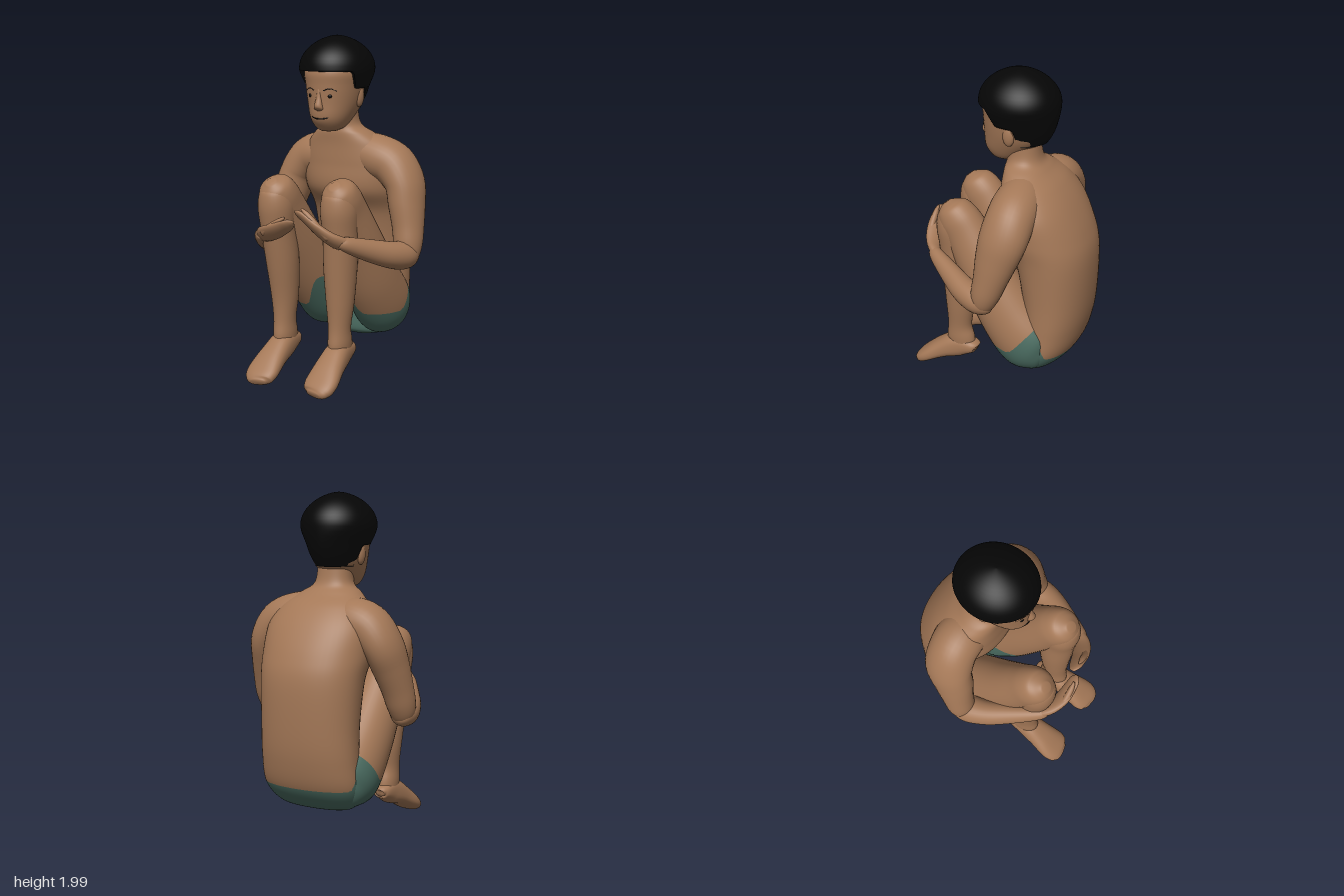
import * as THREE from 'three';

const SKIN = new THREE.MeshStandardMaterial({ color: 0xa47857 });
const SHORTS = new THREE.MeshStandardMaterial({ color: 0x4a6b60 });
const BLACK = new THREE.MeshStandardMaterial({ color: 0x060606, side: THREE.DoubleSide });
const X = new THREE.Vector3(1, 0, 0), Y = new THREE.Vector3(0, 1, 0), Z = new THREE.Vector3(0, 0, 1);
const smooth = THREE.MathUtils.smoothstep;

// Keeps the part of a smooth surface where sign * hem(point) is positive, cutting triangles along the hem.
function cutSurface(geometry, hem, sign) {
  const { position, normal } = geometry.attributes, index = geometry.index.array;
  const out = { position: [], normal: [] };
  const corners = Array.from({ length: position.count }, (_, i) => {
    const p = new THREE.Vector3().fromBufferAttribute(position, i);
    return { p, n: new THREE.Vector3().fromBufferAttribute(normal, i), f: sign * hem(p) };
  });
  for (let k = 0; k < index.length; k += 3) {
    const poly = [];
    for (let e = 0; e < 3; e++) {
      const a = corners[index[k + e]], b = corners[index[k + (e + 1) % 3]];
      if (a.f >= 0) poly.push(a);
      if (a.f >= 0 !== b.f >= 0) {
        const t = a.f / (a.f - b.f);
        poly.push({ p: a.p.clone().lerp(b.p, t), n: a.n.clone().lerp(b.n, t).normalize() });
      }
    }
    for (let i = 1; i + 1 < poly.length; i++) {
      for (const c of [poly[0], poly[i], poly[i + 1]]) {
        out.position.push(...c.p.toArray());
        out.normal.push(...c.n.toArray());
      }
    }
  }
  const cut = new THREE.BufferGeometry();
  for (const key in out) cut.setAttribute(key, new THREE.Float32BufferAttribute(out[key], 3));
  return cut;
}

// Smooth closed surface through rings of points; the part below the hem becomes shorts.
function skinRings(name, rings, material, hem) {
  const n = rings[0].length, pts = rings.flat(), index = [];
  for (let i = 0; i < rings.length - 1; i++) {
    for (let j = 0; j < n; j++) {
      const a = i * n + j, b = i * n + (j + 1) % n;
      index.push(a, b, a + n, b, b + n, a + n);
    }
  }
  // end caps
  for (const [start, flip] of [[0, true], [(rings.length - 1) * n, false]]) {
    const centre = new THREE.Vector3();
    for (let j = 0; j < n; j++) centre.addScaledVector(pts[start + j], 1 / n);
    const c = pts.push(centre) - 1;
    for (let j = 0; j < n; j++) {
      const a = start + j, b = start + (j + 1) % n;
      index.push(c, flip ? b : a, flip ? a : b);
    }
  }
  const geometry = new THREE.BufferGeometry().setFromPoints(pts);
  geometry.setIndex(index);
  geometry.computeVertexNormals();
  const add = (parent, label, geo, mat) => {
    const mesh = new THREE.Mesh(geo, mat);
    mesh.name = label;
    parent.add(mesh);
    return mesh;
  };
  const group = new THREE.Group();
  group.name = name;
  if (!hem) return add(group, name, geometry, material);
  add(group, name + 'Skin', cutSurface(geometry, hem, 1), material);
  add(group, name + 'Shorts', cutSurface(geometry, hem, -1), SHORTS);
  return group;
}

// Loft of ellipses: each section is [x, y, z, halfA, halfB]; A lies along "across".
function loft(name, sections, { across = X, axis = null, power = 2, steps = 5, n = 32, hem } = {}) {
  const path = new THREE.CatmullRomCurve3(sections.map(s => new THREE.Vector3(s[0], s[1], s[2])), false, 'catmullrom');
  const size = new THREE.CatmullRomCurve3(sections.map(s => new THREE.Vector3(s[3], s[4], 0)), false, 'catmullrom');
  const count = (sections.length - 1) * steps, rings = [];
  const bend = v => Math.sign(v) * Math.abs(v) ** (2 / power);
  for (let i = 0; i <= count; i++) {
    const p = path.getPoint(i / count), r = size.getPoint(i / count);
    const T = axis || path.getTangent(i / count);
    const A = across.clone().addScaledVector(T, -across.dot(T)).normalize();
    const B = T.clone().cross(A);
    rings.push(Array.from({ length: n }, (_, j) => {
      const t = j / n * 2 * Math.PI;
      return p.clone().addScaledVector(A, bend(Math.cos(t)) * Math.max(r.x, 0.002))
        .addScaledVector(B, bend(Math.sin(t)) * Math.max(r.y, 0.002));
    }));
  }
  return skinRings(name, rings, SKIN, hem);
}

function createTorso() {
  return loft('torso', [
    [0, 0.177, -0.22, 0.12, 0.04], [0, 0.215, -0.26, 0.24, 0.105], [0, 0.33, -0.315, 0.3, 0.155],
    [0, 0.5, -0.345, 0.3, 0.178], [0, 0.7, -0.345, 0.297, 0.2], [0, 0.95, -0.317, 0.308, 0.228],
    [0, 1.1, -0.255, 0.325, 0.252], [0, 1.25, -0.215, 0.32, 0.215], [-0.005, 1.36, -0.172, 0.265, 0.17],
    [-0.015, 1.43, -0.125, 0.185, 0.126], [-0.02, 1.485, -0.1, 0.115, 0.1], [-0.025, 1.6, -0.08, 0.105, 0.1],
  ], { axis: Y, power: 2.2, n: 56, steps: 8, hem: p => p.y - 0.34 - Math.min(0.12, 3 * Math.max(0, p.z + 0.38)) });
}

// Leg: thigh folded up to the knee, shin down to a tilted foot
function createLeg(s, dx, dz) {
  const side = list => list.map(([x, y, z, a, b]) =>
    [s * x + dx * smooth(z, -0.25, 0.2), y, z + dz * smooth(y, 0.4, 1), a, b]);
  const leg = new THREE.Group();
  leg.name = s > 0 ? 'leftLeg' : 'rightLeg';
  const hem = p => p.y - 0.37 - 1.25 * Math.max(0, -0.18 - p.z) - 0.2 * smooth(0.2 - s * p.x, 0, 0.13);
  leg.add(
    loft('thigh', side([
      [0.19, 0.28, -0.345, 0.04, 0.04], [0.195, 0.305, -0.31, 0.12, 0.125], [0.195, 0.38, -0.235, 0.165, 0.198],
      [0.195, 0.56, -0.09, 0.165, 0.19], [0.19, 0.8, 0.06, 0.145, 0.16], [0.185, 1.0, 0.18, 0.12, 0.14],
      [0.185, 1.1, 0.25, 0.11, 0.125], [0.185, 1.15, 0.295, 0.085, 0.09], [0.185, 1.18, 0.32, 0.03, 0.03],
    ]), { hem, n: 40, steps: 7 }),
    loft('shin', side([
      [0.185, 1.16, 0.29, 0.04, 0.04], [0.185, 1.13, 0.282, 0.085, 0.085], [0.185, 1.04, 0.265, 0.108, 0.112],
      [0.185, 0.9, 0.25, 0.1, 0.11], [0.18, 0.7, 0.24, 0.095, 0.105], [0.18, 0.5, 0.24, 0.08, 0.09],
      [0.18, 0.35, 0.247, 0.063, 0.076], [0.18, 0.26, 0.242, 0.063, 0.09], [0.18, 0.19, 0.235, 0.058, 0.09],
    ])),
    loft('foot', side([
      [0.18, 0.198, 0.13, 0.025, 0.022], [0.18, 0.202, 0.15, 0.052, 0.04], [0.18, 0.19, 0.25, 0.07, 0.078],
      [0.185, 0.14, 0.36, 0.085, 0.063], [0.19, 0.075, 0.46, 0.1, 0.046], [0.185, 0.04, 0.51, 0.085, 0.036],
      [0.18, 0.028, 0.535, 0.045, 0.018],
    ]), { power: 2.4 }),
  );
  return leg;
}

// Arm: shoulder flowing out of the torso, forearm reaching forward, hand turned inward before the knee
function createArm(s, back, dz, rise) {
  const side = list => list.map(([x, y, z, a, b]) => [s * x, y + rise * smooth(0.25 - x, 0, 0.2),
    z + dz * smooth(z, -0.05, 0.35) - back * smooth(y, 0.9, 1.2), a, b]);
  const arm = new THREE.Group();
  arm.name = s > 0 ? 'leftArm' : 'rightArm';
  arm.add(
    loft('upperArm', side([
      [0.06, 1.3, -0.15, 0.12, 0.12], [0.2, 1.282, -0.165, 0.142, 0.135], [0.3, 1.245, -0.17, 0.142, 0.129],
      [0.375, 1.15, -0.16, 0.142, 0.112], [0.405, 1.03, -0.13, 0.125, 0.104], [0.43, 0.9, -0.1, 0.1, 0.092],
      [0.443, 0.8, -0.075, 0.085, 0.084], [0.446, 0.73, -0.06, 0.062, 0.065], [0.446, 0.69, -0.05, 0.03, 0.03],
    ]), { across: Z }),
    loft('forearm', side([
      [0.452, 0.75, -0.115, 0.03, 0.03], [0.45, 0.746, -0.085, 0.066, 0.066], [0.437, 0.75, -0.02, 0.084, 0.082],
      [0.41, 0.77, 0.08, 0.074, 0.077], [0.35, 0.81, 0.2, 0.06, 0.065], [0.28, 0.86, 0.33, 0.043, 0.045],
      [0.25, 0.88, 0.37, 0.03, 0.03],
    ])),
    loft('hand', side([
      [0.29, 0.855, 0.32, 0.035, 0.03], [0.22, 0.885, 0.38, 0.055, 0.032], [0.14, 0.93, 0.415, 0.06, 0.027],
      [0.06, 0.98, 0.43, 0.05, 0.02], [0.02, 1.005, 0.435, 0.036, 0.015], [0, 1.017, 0.437, 0.012, 0.007],
    ]), { across: new THREE.Vector3(0, 0.7, 0.7), n: 24 }),
    loft('thumb', side([
      [0.21, 0.9, 0.42, 0.016, 0.02], [0.15, 0.955, 0.44, 0.02, 0.02], [0.09, 1.005, 0.445, 0.017, 0.017],
      [0.05, 1.035, 0.445, 0.007, 0.007],
    ]), { across: Z, n: 16 }),
  );
  return arm;
}

// Hair cap with a raised front hairline, sideburns and a gap above each ear
function createHair() {
  const n = 96, rings = [];
  const point = (t, y, r) =>
    new THREE.Vector3(-0.027 + 0.217 * r * Math.cos(t), y, -0.058 - 0.238 * r * Math.sin(t));
  const drop = t => {
    const f = -Math.sin(t);
    return 0.01 + 0.1 * (1 - smooth(f, 0.36, 0.55)) + 0.12 * (1 - smooth(f, -0.38, -0.15));
  };
  const row = fn => rings.push(Array.from({ length: n }, (_, j) => fn(j / n * 2 * Math.PI)));
  row(t => point(t, 1.81 - drop(t), 0.62));
  for (let k = 8; k > 0; k--) {
    row(t => {
      const d = drop(t) * k / 8, flank = 0.14 * Math.abs(Math.cos(t)) * smooth(d, 0, 0.12);
      return point(t, 1.81 - d, 1 - flank - 0.27 * (d / 0.22) ** 2.5);
    });
  }
  for (let k = 0; k <= 14; k++) {
    const a = k / 14 * 1.54;
    row(t => point(t, 1.81 + 0.19 * Math.sin(a), Math.cos(a) ** 1.2));
  }
  return skinRings('hair', rings, BLACK);
}

function createHead() {
  const head = new THREE.Group(), cx = -0.025;
  head.name = 'head';
  head.add(loft('face', [
    [cx, 1.452, 0.035, 0.045, 0.05], [cx, 1.475, 0.02, 0.085, 0.092], [cx, 1.53, 0, 0.118, 0.146],
    [cx, 1.62, -0.04, 0.15, 0.19], [cx, 1.72, -0.05, 0.168, 0.205], [cx, 1.8, -0.05, 0.175, 0.205],
    [cx, 1.88, -0.05, 0.13, 0.15], [cx, 1.93, -0.05, 0.05, 0.06],
  ], { axis: Y, power: 2.1, n: 48 }));
  head.add(loft('nose', [
    [cx, 1.7, 0.146, 0.01, 0.008], [cx, 1.65, 0.148, 0.016, 0.014], [cx, 1.605, 0.153, 0.025, 0.024],
    [cx, 1.585, 0.148, 0.027, 0.018], [cx, 1.575, 0.143, 0.012, 0.01],
  ], { axis: Y.clone().negate(), n: 16 }));
  const ball = (name, material, x, y, z, ...scale) => {
    const mesh = new THREE.Mesh(new THREE.SphereGeometry(1, 20, 14), material);
    mesh.name = name;
    mesh.position.set(x, y, z);
    mesh.scale.set(...scale);
    head.add(mesh);
  };
  const line = (name, points) => {
    const curve = new THREE.CatmullRomCurve3(points.map(p => new THREE.Vector3(...p)));
    const mesh = new THREE.Mesh(new THREE.TubeGeometry(curve, 12, 0.0035, 6), BLACK);
    mesh.name = name;
    head.add(mesh);
  };
  for (const s of [-1, 1]) {
    ball('eye', BLACK, cx + s * 0.062, 1.66, 0.132, 0.015, 0.012, 0.01);
    ball('ear', SKIN, cx + s * 0.146, 1.65, -0.06, 0.024, 0.062, 0.036);
    line('eyebrow', [[cx + s * 0.03, 1.692, 0.15], [cx + s * 0.065, 1.703, 0.138], [cx + s * 0.1, 1.69, 0.113]]);
  }
  line('mouth', [[cx - 0.055, 1.538, 0.131], [cx - 0.025, 1.53, 0.144], [cx, 1.529, 0.147],
    [cx + 0.025, 1.53, 0.144], [cx + 0.055, 1.538, 0.131]]);
  head.add(createHair());
  return head;
}

export function createModel() {
  const model = new THREE.Group();
  model.name = 'crouchingFigure';
  model.add(createTorso(), createHead());
  model.add(createLeg(1, -0.005, -0.005), createLeg(-1, -0.025, 0.05));
  model.add(createArm(1, -0.005, 0, 0.025), createArm(-1, 0.02, 0.035, -0.03));
  return model;
}
